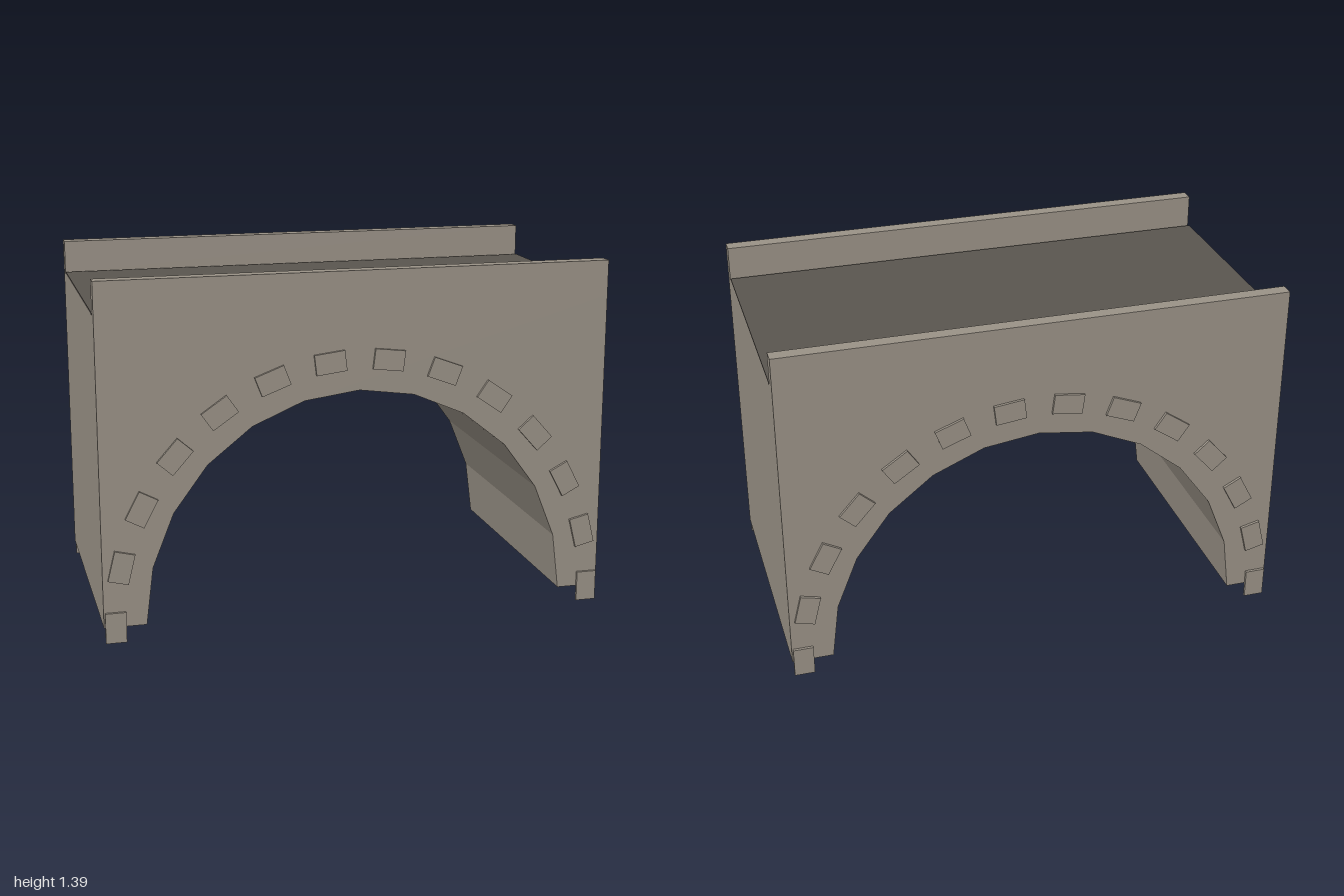
import * as THREE from 'three';

export function createModel() {
  const model = new THREE.Group();
  model.name = 'archBridge';
  const stone = new THREE.MeshStandardMaterial({ name: 'stone', color: 0x9a9287 });
  const asphalt = new THREE.MeshStandardMaterial({ name: 'asphalt', color: 0x5a554f });

  const add = (name, geometry, material, x, y, z) => {
    const mesh = new THREE.Mesh(geometry, material);
    mesh.name = name;
    mesh.position.set(x, y, z);
    model.add(mesh);
    return mesh;
  };

  const halfDepth = 0.536, base = 0.06, deckTop = 1.256, top = 1.39;

  // Solid body with a twelve-sided half-round opening
  const outline = new THREE.Shape();
  outline.moveTo(-1, base);
  const segments = 12;
  for (let i = 0; i <= segments; i++) {
    const a = Math.PI * (1 - i / segments);
    outline.lineTo(0.836 * Math.cos(a), base + 0.87 * Math.sin(a));
  }
  outline.lineTo(1, base);
  outline.lineTo(1, deckTop);
  outline.lineTo(-1, deckTop);
  outline.closePath();
  const body = new THREE.ExtrudeGeometry(outline, { depth: 2 * halfDepth, bevelEnabled: false });
  add('archBody', body, stone, 0, 0, -halfDepth);

  // Road surface
  add('road', new THREE.BoxGeometry(2, 0.008, 0.93), asphalt, 0, deckTop + 0.004, 0);

  // Parapets and the ring of thin stones on both faces
  const parapet = new THREE.BoxGeometry(2, top - deckTop, 0.055);
  const block = new THREE.BoxGeometry(0.08, 0.12, 0.011);
  const count = 14;
  for (const side of [1, -1]) {
    add('parapet', parapet, stone, 0, (top + deckTop) / 2, side * (halfDepth - 0.0275));
    for (let i = 0; i < count; i++) {
      const a = (Math.PI * i) / (count - 1);
      const x = 0.955 * Math.cos(a), y = base + 0.99 * Math.sin(a);
      add('archStone', block, stone, x, y, side * (halfDepth + 0.0055)).rotation.z = a;
    }
  }
  return model;
}
